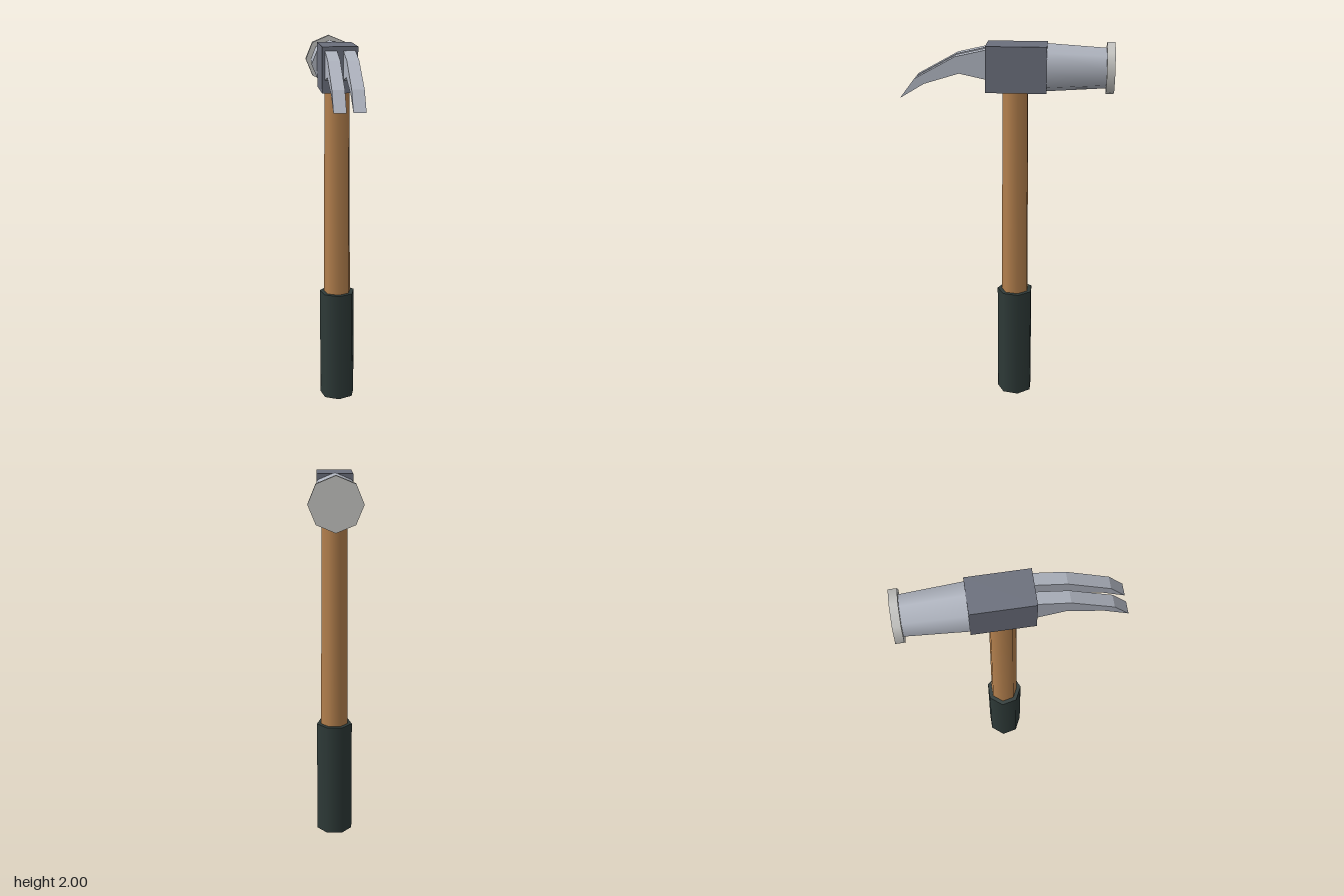
import * as THREE from 'three';

const paint = (name, color) => {
  const m = new THREE.MeshStandardMaterial({ color });
  m.name = name;
  return m;
};

export function createModel() {
  const group = new THREE.Group();
  const wood = paint('wood', 0xb5814e);
  const rubber = paint('dark rubber', 0x2e3a38);
  const iron = paint('dark iron', 0x6b6f7c);
  const steel = paint('steel', 0xb0b5c0);
  const polished = paint('polished steel', 0xc6c6c3);

  const add = (name, geometry, material) => {
    const mesh = new THREE.Mesh(geometry, material);
    mesh.name = name;
    group.add(mesh);
    return mesh;
  };

  // Seven-sided upright cylinder on the handle axis
  const shaft = (name, rTop, rBottom, y0, y1, material) =>
    add(name, new THREE.CylinderGeometry(rTop, rBottom, y1 - y0, 7), material)
      .position.set(0, (y0 + y1) / 2, -0.045);

  shaft('handle', 0.068, 0.079, 0, 1.78, wood);
  shaft('grip', 0.098, 0.098, 0.003, 0.625, rubber);

  // Head block
  add('headBlock', new THREE.BoxGeometry(0.184, 0.235, 0.31), iron)
    .position.set(0, 1.868, -0.05);

  // Eight-sided cylinder lying along z; the first radius is at the back
  const barrel = (name, rBack, rFront, zBack, zFront, material) =>
    add(name, new THREE.CylinderGeometry(rBack, rFront, zFront - zBack, 8).rotateX(-Math.PI / 2), material)
      .position.set(0, 1.868, (zBack + zFront) / 2);

  barrel('neck', 0.103, 0.123, -0.51, -0.205, steel);
  barrel('strikingFace', 0.133, 0.133, -0.546, -0.505, polished);

  // Pair of curved claws, profile drawn as (z, y)
  const profile = new THREE.Shape([
    [0.1, 1.815], [0.24, 1.845], [0.42, 1.79], [0.546, 1.715],
    [0.47, 1.815], [0.26, 1.93], [0.1, 1.966],
  ].map(([z, y]) => new THREE.Vector2(z, y)));
  const clawGeometry = new THREE.ExtrudeGeometry(profile, { depth: 0.062, bevelEnabled: false })
    .rotateY(-Math.PI / 2)
    .translate(0.031, 0, 0);
  for (const side of [1, -1]) {
    add(side > 0 ? 'leftClaw' : 'rightClaw', clawGeometry, steel).position.x = side * 0.047;
  }

  return group;
}
